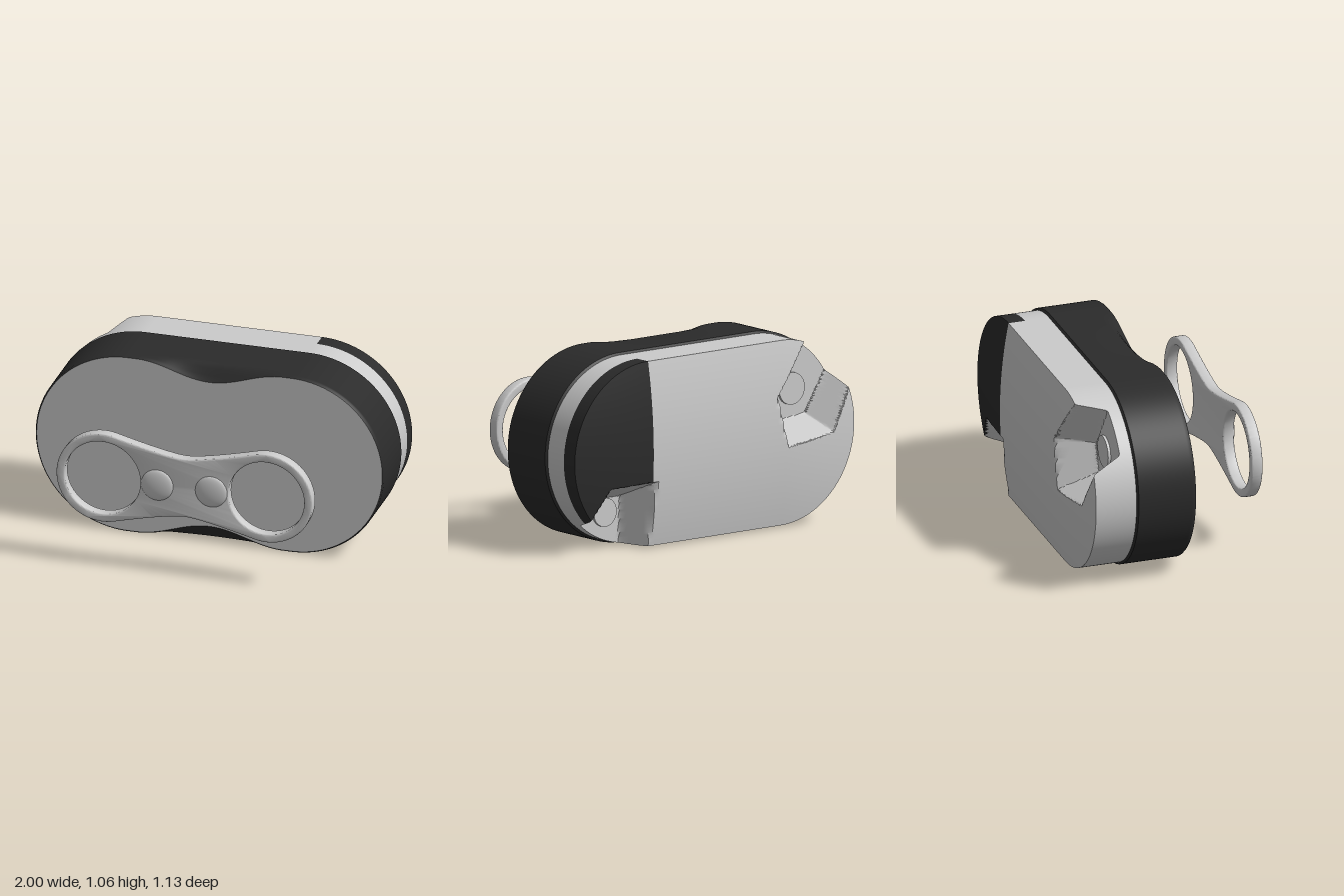
import * as THREE from 'three';
import { toCreasedNormals } from 'three/addons/utils/BufferGeometryUtils.js';

const CX = 0.47, CY = 0.53, R = 0.53;
const grey = new THREE.MeshStandardMaterial({ color: 0xcccccc, side: THREE.DoubleSide });
const dark = new THREE.MeshStandardMaterial({ color: 0x2b2b2b, side: THREE.DoubleSide });

// Stadium outline, counter-clockwise: point on the centre line plus outward direction
function stadium(arc = 120, straight = 48) {
  const list = [];
  for (const s of [1, -1]) {
    for (let i = 0; i < arc; i++) {
      const a = -Math.PI / 2 + (Math.PI * i) / arc;
      list.push({ x: s * CX, nx: s * Math.cos(a), ny: s * Math.sin(a) });
    }
    for (let i = 0; i < straight; i++) {
      list.push({ x: s * CX * (1 - (2 * i) / straight), nx: 0, ny: s });
    }
  }
  return list;
}
const OUTLINE = stadium();

// Skin over closed rings, keeping only the quads whose centre passes the test
function loft(rings, crease, keep = () => true) {
  const pos = [];
  for (let k = 0; k + 1 < rings.length; k++) {
    const a = rings[k], b = rings[k + 1], n = a.length;
    for (let i = 0; i < n; i++) {
      const j = (i + 1) % n;
      const c = new THREE.Vector3().add(a[i]).add(a[j]).add(b[i]).add(b[j]).multiplyScalar(0.25);
      if (!keep(c)) continue;
      for (const p of [a[i], a[j], b[j], a[i], b[j], b[i]]) pos.push(p.x, p.y, p.z);
    }
  }
  const g = new THREE.BufferGeometry();
  g.setAttribute('position', new THREE.Float32BufferAttribute(pos, 3));
  return toCreasedNormals(g, crease);
}

function add(parent, name, geometry, material) {
  const m = new THREE.Mesh(geometry, material);
  m.name = name;
  parent.add(m);
  return m;
}

// Waisted stadium point: the straight sides dip toward the middle by "dip"
const scoop = (x) => (Math.abs(x) < 0.42 ? 0.5 + 0.5 * Math.cos((Math.PI * x) / 0.42) : 0);
const bodyRing = (z, inset, dip) => OUTLINE.map((o) => {
  const r = R - inset - dip * scoop(o.x) * (o.nx === 0 ? 1 : 0);
  return new THREE.Vector3(o.x + o.nx * r, CY + o.ny * r, z);
});

// Floors of the two pockets in the back, convex and counter-clockwise
const POCKETS = [
  [[0.71, 0.28], [0.54, 0.28], [0.55, -0.1], [1.01, -0.1]],
  [[-0.52, 0.72], [-0.82, 1.15], [-1.05, 1.03], [-0.77, 0.58], [-0.56, 0.56]],
];
function pocketDistance(x, y) {
  return Math.min(...POCKETS.map((poly) => Math.max(...poly.map(([ax, ay], i) => {
    const [bx, by] = poly[(i + 1) % poly.length];
    const dx = bx - ax, dy = by - ay;
    return ((x - ax) * dy - (y - ay) * dx) / Math.hypot(dx, dy);
  }))));
}
const FLOOR = -0.35, SLOPE = 2.2;
const pocketZ = (x, y) => FLOOR - SLOPE * Math.max(0, pocketDistance(x, y));

// Back cover: domed sheet with sunken pockets, then the side wall
function coverRings() {
  const rings = [], r = R - 0.012, N = 64;
  for (let k = 0; k <= N; k++) {
    const t = k / N;
    rings.push(OUTLINE.map((o) => {
      const x = o.x + o.nx * r * t, y = CY + o.ny * r * t;
      const dome = -0.515 - 0.05 * (1 - t * t);
      return new THREE.Vector3(x, y, Math.max(dome, pocketZ(x, y)));
    }));
  }
  const edge = rings[N];
  rings.push(edge.map((p) => new THREE.Vector3(p.x, p.y, Math.max(p.z, -0.42))));
  rings.push(edge.map((p) => new THREE.Vector3(p.x, p.y, -0.275)));
  return rings;
}

// Floating face plate: two rings joined by a waisted bridge
function plateGeometry() {
  const r = 0.265, a = (105 * Math.PI) / 180;
  const px = CX + r * Math.cos(a), py = r * Math.sin(a), w = 0.174;
  const s = new THREE.Shape();
  s.moveTo(px, -py);
  s.absarc(CX, 0, r, -a, a, false);
  s.quadraticCurveTo(0.09, w, 0, w);
  s.quadraticCurveTo(-0.09, w, -px, py);
  s.absarc(-CX, 0, r, Math.PI - a, Math.PI + a, false);
  s.quadraticCurveTo(-0.09, -w, 0, -w);
  s.quadraticCurveTo(0.09, -w, px, -py);
  for (const x of [CX, -CX]) {
    const h = new THREE.Path();
    h.absarc(x, 0, 0.217, 0, Math.PI * 2, true);
    s.holes.push(h);
  }
  const g = new THREE.ExtrudeGeometry(s, {
    depth: 0.049, curveSegments: 48, bevelThickness: 0.008, bevelSize: 0.01, bevelOffset: -0.01, bevelSegments: 3,
  });
  return toCreasedNormals(g, 0.6);
}

export function createModel() {
  const model = new THREE.Group();
  model.name = 'case';

  // Dark body band with finger scoops in the front edge
  const band = [
    [-0.28, 0.012, 0], [-0.27, 0, 0], [-0.02, 0, 0], [0, 0, 0.008], [0.02, 0, 0.03],
    [0.04, 0, 0.065], [0.055, 0, 0.085], [0.065, 0.008, 0.087],
  ].map((v) => bodyRing(...v));
  add(model, 'bodyBand', loft(band, 0.7), dark);

  // Flat front panel and the band's back
  const panel = (ring) => new THREE.ShapeGeometry(new THREE.Shape(ring.map((p) => new THREE.Vector2(p.x, p.y))));
  add(model, 'frontPanel', panel(bodyRing(0, 0.008, 0.087)), grey).position.z = 0.065;
  const back = add(model, 'bandBack', panel(bodyRing(0, 0.012, 0)), dark);
  back.rotation.y = Math.PI;
  back.position.z = -0.28;

  // Back cover with a dark end
  const rings = coverRings();
  const isDark = (c) => c.x > CX && c.z < -0.42 && !(c.x < 0.66 && c.y < 0.3)
    && c.z > pocketZ(c.x, c.y) + 0.002;
  add(model, 'backCover', loft(rings, 0.55, (c) => !isDark(c)), grey);
  add(model, 'backCoverDarkEnd', loft(rings, 0.55, isDark), dark);

  // Round buttons on the pocket floors
  for (const [x, y, r] of [[0.65, 0.2, 0.08], [-0.67, 0.73, 0.09]]) {
    const b = add(model, 'pocketButton', new THREE.CylinderGeometry(r, r, 0.02, 40), grey);
    b.rotation.x = Math.PI / 2;
    b.position.set(x, y, FLOOR - 0.005);
  }

  // Face plate with two low bumps
  const plate = new THREE.Group();
  plate.name = 'facePlate';
  plate.position.set(0, CY + 0.005, 0.488);
  add(plate, 'plate', plateGeometry(), grey);
  for (const x of [0.155, -0.155]) {
    const bump = add(plate, 'bump', new THREE.SphereGeometry(0.092, 32, 10, 0, Math.PI * 2, 0, Math.PI / 2), grey);
    bump.rotation.x = Math.PI / 2;
    bump.scale.y = 0.24;
    bump.position.set(x, 0, 0.056);
  }
  model.add(plate);
  return model;
}
